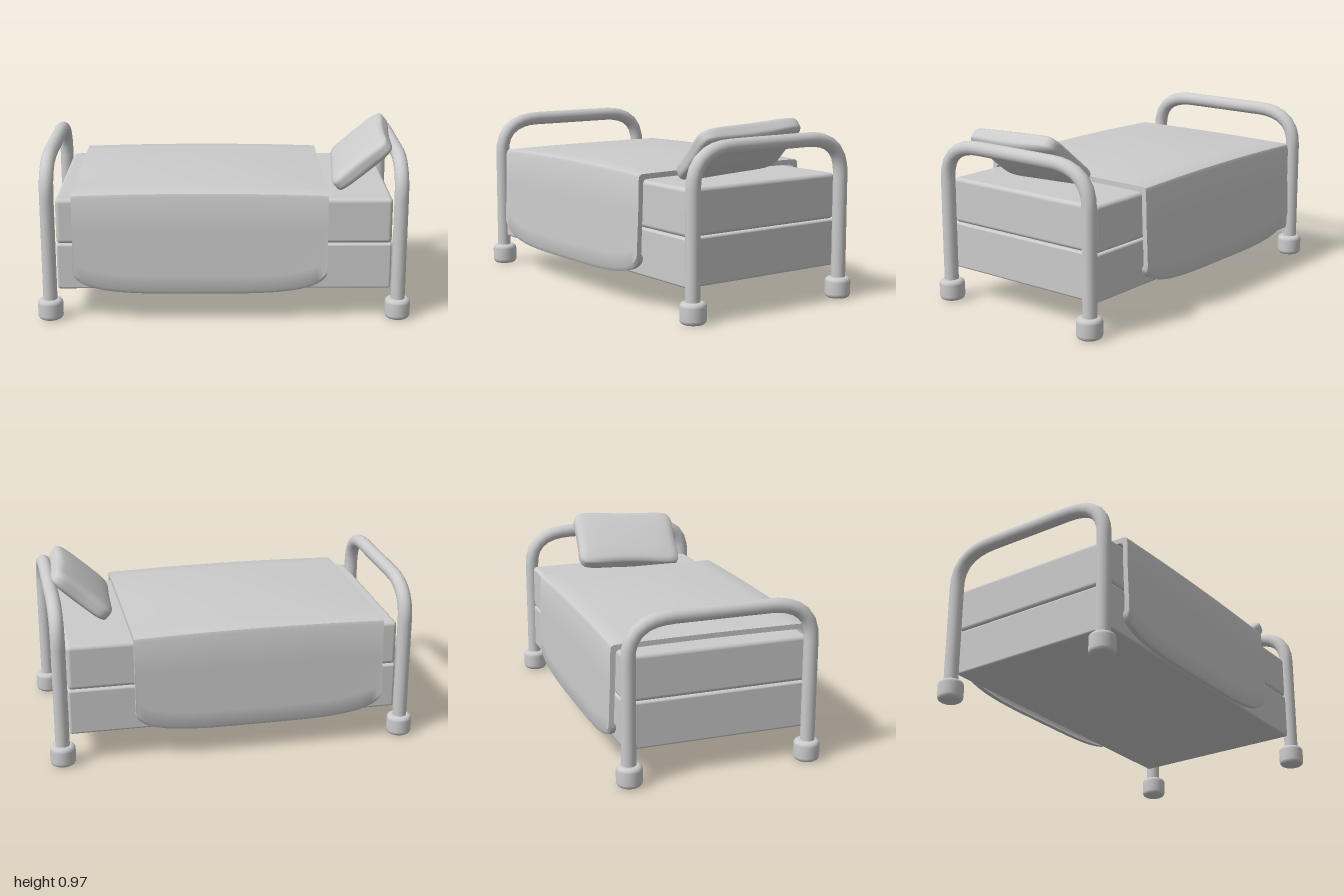
import * as THREE from 'three';
import { RoundedBoxGeometry } from 'three/addons/geometries/RoundedBoxGeometry.js';
import { mergeVertices, toCreasedNormals } from 'three/addons/utils/BufferGeometryUtils.js';

const material = new THREE.MeshStandardMaterial({ color: 0xcccccc, roughness: 0.8 });

function part(name, geometry, x = 0, y = 0, z = 0) {
  const mesh = new THREE.Mesh(geometry, material);
  mesh.name = name;
  mesh.position.set(x, y, z);
  return mesh;
}

// Arched tube: two posts joined by rounded corners and a top rail
function archGeometry() {
  const v = (z, y) => new THREE.Vector3(0, y, z);
  const path = new THREE.CurvePath();
  path.add(new THREE.LineCurve3(v(0.49, 0.05), v(0.49, 0.67)));
  path.add(new THREE.QuadraticBezierCurve3(v(0.49, 0.67), v(0.49, 0.86), v(0.25, 0.86)));
  path.add(new THREE.LineCurve3(v(0.25, 0.86), v(-0.25, 0.86)));
  path.add(new THREE.QuadraticBezierCurve3(v(-0.25, 0.86), v(-0.49, 0.86), v(-0.49, 0.67)));
  path.add(new THREE.LineCurve3(v(-0.49, 0.67), v(-0.49, 0.05)));
  return new THREE.TubeGeometry(path, 48, 0.038, 16);
}

// Round foot cap with softened rims
function footGeometry() {
  const r = 0.068, h = 0.112, b = 0.024;
  const profile = [new THREE.Vector2(0, 0)];
  for (let i = 0; i <= 4; i++) {
    const a = (i / 4) * Math.PI / 2;
    profile.push(new THREE.Vector2(r - b + b * Math.sin(a), b - b * Math.cos(a)));
  }
  for (let i = 0; i <= 4; i++) {
    const a = (i / 4) * Math.PI / 2;
    profile.push(new THREE.Vector2(r - b + b * Math.cos(a), h - b + b * Math.sin(a)));
  }
  profile.push(new THREE.Vector2(0, h));
  return new THREE.LatheGeometry(profile, 24);
}

// Draped cover: a closed U-shaped section swept along x, with a curved hem
function blanketGeometry() {
  const midX = -0.1275, halfX = 0.6725, nx = 40, nTop = 12;

  // One strip of points from the +z hem over the top to the -z hem
  function strip(u, inset) {
    const hem = 0.155 + 0.115 * (1 - Math.sqrt(Math.max(0, 1 - u ** 4)));
    const rise = 1 - u * u;
    const side = [
      [0.538 - inset, hem],
      [0.55 - inset, hem + 0.02],
      [0.547 - inset, hem + 0.1],
      [0.541 - inset, 0.5],
      [0.537 - inset, 0.68 - inset + 0.01 * rise],
      [0.531 - inset, 0.694 - inset + 0.012 * rise],
    ];
    const points = [...side];
    for (let j = 0; j <= nTop; j++) {
      const v = 1 - (2 * j) / nTop;
      points.push([v * (0.518 - inset), 0.7 - inset + 0.012 * rise + (1 - v * v) * (0.004 + 0.018 * rise)]);
    }
    for (const [z, y] of side.reverse()) points.push([-z, y]);
    return points;
  }

  const positions = [], index = [];
  let n = 0;
  for (let i = 0; i <= nx; i++) {
    const u = -Math.cos((i / nx) * Math.PI);
    const loop = [...strip(u, 0), ...strip(u, 0.027).reverse()];
    n = loop.length;
    for (const [z, y] of loop) positions.push(midX + halfX * u, y, z);
  }
  for (let i = 0; i < nx; i++) {
    for (let j = 0; j < n; j++) {
      const a = i * n + j, b = i * n + (j + 1) % n;
      index.push(a, a + n, b, b, a + n, b + n);
    }
  }
  // Close both ends between the outer and inner strips
  for (let j = 0; j < n / 2 - 1; j++) {
    const a = j, b = j + 1, c = n - 2 - j, d = n - 1 - j, e = nx * n;
    index.push(a, b, c, a, c, d);
    index.push(e + a, e + c, e + b, e + a, e + d, e + c);
  }
  const geometry = new THREE.BufferGeometry();
  geometry.setAttribute('position', new THREE.Float32BufferAttribute(positions, 3));
  geometry.setIndex(index);
  return toCreasedNormals(geometry, 0.7);
}

// Soft box: rounded by a power norm, with waisted sides and pulled-out corners
function pillowGeometry() {
  let geometry = new THREE.BoxGeometry(2, 2, 2, 18, 8, 24);
  geometry.deleteAttribute('uv');
  geometry.deleteAttribute('normal');
  geometry = mergeVertices(geometry);
  const p = geometry.attributes.position, power = 6;
  for (let i = 0; i < p.count; i++) {
    const q = [p.getX(i), p.getY(i), p.getZ(i)];
    const norm = q.reduce((s, c) => s + Math.abs(c) ** power, 0) ** (1 / power);
    const [x, y, z] = q.map((c) => c / norm);
    p.setXYZ(i,
      0.195 * x * (0.92 + 0.12 * z * z),
      0.058 * y * (1 - 0.15 * x * x - 0.15 * z * z),
      0.315 * z * (0.96 + 0.06 * x * x));
  }
  geometry.computeVertexNormals();
  return geometry;
}

export function createModel() {
  const model = new THREE.Group();
  model.name = 'bed';

  // Base and mattress
  model.add(part('base', new RoundedBoxGeometry(1.78, 0.25, 0.99, 3, 0.012), 0, 0.292, 0));
  model.add(part('mattress', new RoundedBoxGeometry(1.78, 0.245, 0.99, 4, 0.022), 0, 0.542, 0));

  // Head and foot frames
  const arch = archGeometry(), foot = footGeometry();
  for (const side of [1, -1]) {
    const frame = new THREE.Group();
    frame.name = side > 0 ? 'headFrame' : 'footFrame';
    frame.position.x = side * 0.932;
    frame.add(part('archTube', arch));
    for (const z of [0.487, -0.487]) frame.add(part('footCap', foot, 0, 0, z));
    model.add(frame);
  }

  // Bedding
  model.add(part('blanket', blanketGeometry()));
  const pillow = part('pillow', pillowGeometry(), 0.755, 0.817, 0.06);
  pillow.rotation.set(0, -0.09, 0.715, 'ZYX');
  model.add(pillow);

  return model;
}
